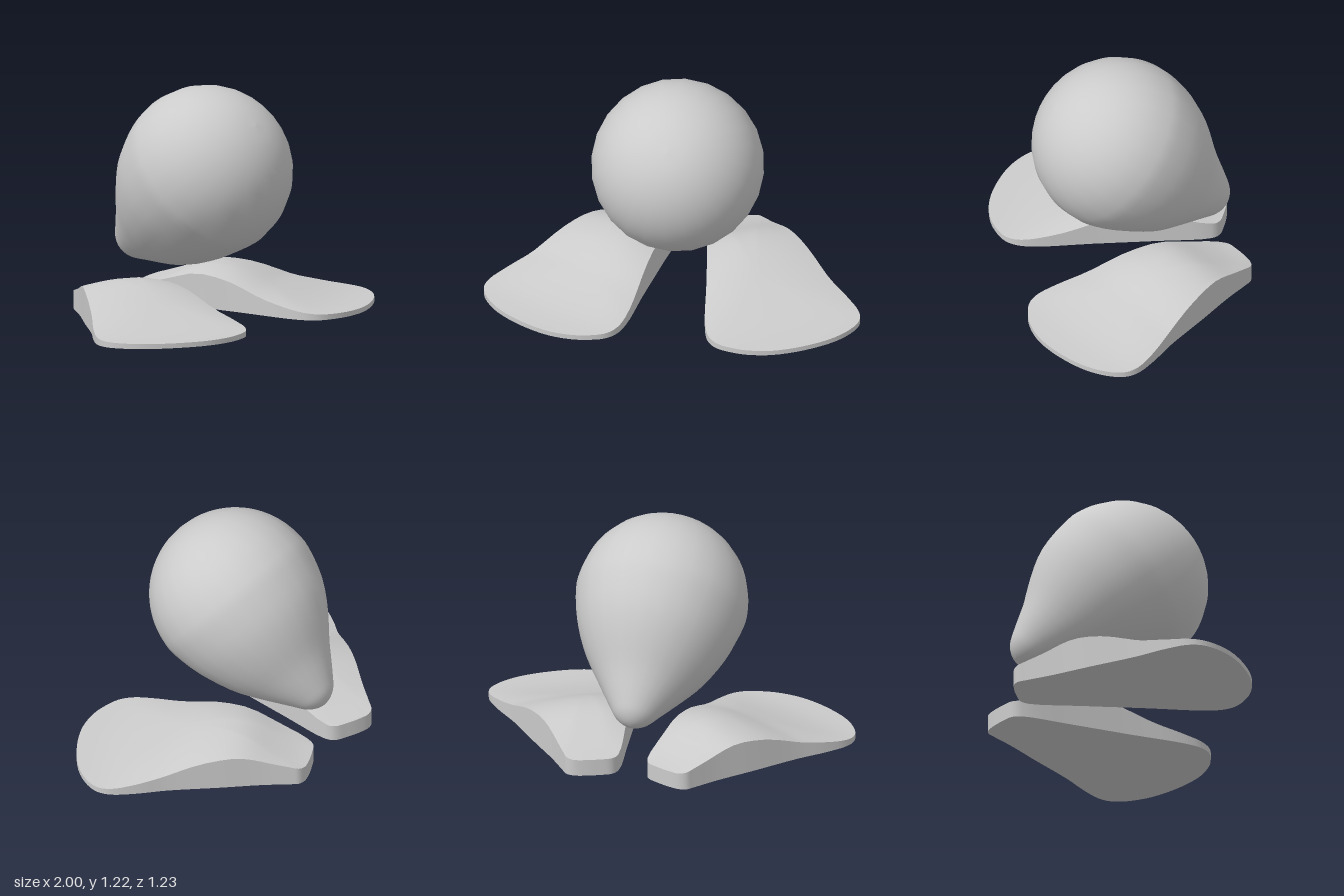
import * as THREE from 'three';
import { mergeGeometries } from 'three/addons/utils/BufferGeometryUtils.js';

const material = new THREE.MeshStandardMaterial({ color: 0xcccccc });

// Skin a list of closed rings (arrays of Vector3) with smooth normals.
function skin(rings) {
  const n = rings[0].length, index = [];
  for (let i = 0; i < rings.length - 1; i++) {
    for (let j = 0; j < n; j++) {
      const k = (j + 1) % n;
      const a = i * n + j, b = i * n + k, c = b + n, d = a + n;
      index.push(a, d, c, a, c, b);
    }
  }
  const geometry = new THREE.BufferGeometry().setFromPoints(rings.flat());
  geometry.setIndex(index);
  geometry.computeVertexNormals();
  return geometry;
}

function mesh(name, geometry) {
  const m = new THREE.Mesh(geometry, material);
  m.name = name;
  return m;
}

// Smooth interpolation through [position, value] pairs.
function along(table, s) {
  const last = table.length - 1;
  if (s <= table[0][0]) return table[0][1];
  if (s >= table[last][0]) return table[last][1];
  const i = table.findIndex((p) => p[0] > s) - 1;
  const slope = (k) => {
    const p = table[Math.max(k - 1, 0)], q = table[Math.min(k + 1, last)];
    return (q[1] - p[1]) / (q[0] - p[0]);
  };
  const [x0, y0] = table[i], [x1, y1] = table[i + 1];
  const w = x1 - x0, t = (s - x0) / w, t2 = t * t, t3 = t2 * t;
  return (2 * t3 - 3 * t2 + 1) * y0 + (t3 - 2 * t2 + t) * w * slope(i)
    + (3 * t2 - 2 * t3) * y1 + (t3 - t2) * w * slope(i + 1);
}

// Round body drawn out into a blunt tail, down and to the back.
function bodyGeometry() {
  const R = 0.455, profile = [];
  for (let i = 0; i <= 8; i++) {
    const f = (i / 8) * 1.68;
    profile.push(new THREE.Vector2(-R * Math.cos(f), R * Math.sin(f)));
  }
  for (const [a, r] of [[0.214, 0.41], [0.376, 0.33], [0.516, 0.232], [0.644, 0.14],
    [0.704, 0.094], [0.737, 0.045], [0.747, 0]]) profile.push(new THREE.Vector2(a, r));

  const centre = new THREE.Vector3(0, 0.77, 0.03);
  const axis = new THREE.Vector3(0, -0.642, -0.767);
  const up = new THREE.Vector3(0, 0.767, -0.642);
  const rings = new THREE.SplineCurve(profile).getPoints(45).map(({ x: a, y }) => {
    const r = Math.max(y, 0);
    const sag = -0.02 * Math.exp(-(((a - 0.47) / 0.15) ** 2)); // fuller underside
    return Array.from({ length: 24 }, (_, j) => {
      const t = (j / 24) * Math.PI * 2;
      const p = centre.clone().addScaledVector(axis, a);
      p.addScaledVector(up, sag + r * Math.sin(t));
      p.x = r * Math.cos(t);
      return p;
    });
  });
  return skin(rings);
}

// Foot outline (x, z), from the inner toe corner round the toe to the heel.
const OUTLINE = [
  [0.21, 0.42], [0.245, 0.52], [0.3, 0.575], [0.4, 0.605], [0.48, 0.61], [0.6, 0.59],
  [0.75, 0.52], [0.9, 0.405], [0.98, 0.29], [1, 0.21], [0.98, 0.14], [0.9, 0.04],
  [0.78, -0.08], [0.6, -0.29], [0.45, -0.46], [0.36, -0.575], [0.33, -0.61], [0.29, -0.62],
  [0.23, -0.605], [0.16, -0.575], [0.1, -0.54], [0.08, -0.49], [0.12, -0.2], [0.17, 0.13],
];
// Rim height and extra crown by distance along the foot, heel to toe.
const RIM = [[-0.42, 0.09], [-0.25, 0.135], [-0.12, 0.174], [-0.03, 0.18], [0.1, 0.16],
  [0.19, 0.132], [0.3, 0.092], [0.4, 0.068], [0.52, 0.045], [0.64, 0.031], [0.8, 0.026]];
const CROWN = [[-0.4, 0], [-0.2, 0.025], [0, 0.04], [0.2, 0.038], [0.45, 0.025], [0.75, 0.005]];

// Splayed flat-soled foot; side is +1 for left, -1 for right.
function footGeometry(side) {
  const curve = new THREE.CatmullRomCurve3(
    OUTLINE.map(([x, z]) => new THREE.Vector3(x, 0, z)), true, 'centripetal');
  const loop = curve.getPoints(96).slice(0, -1);
  const centre = new THREE.Vector3(0.42, 0, 0.05);

  const ring = (k, raised) => {
    const points = loop.map((p) => {
      const q = centre.clone().lerp(p, k);
      const s = 0.46 * q.x + 0.89 * q.z;
      if (raised) q.y = along(RIM, s) + along(CROWN, s) * (1 - k * k);
      q.x *= side;
      return q;
    });
    return side < 0 ? points.reverse() : points;
  };

  const steps = Array.from({ length: 13 }, (_, i) => i / 12);
  const top = skin(steps.map((k) => ring(k, true)));
  const wall = skin([ring(1, true), ring(1, false)]);
  const sole = skin([ring(1, false), ring(0, false)]);
  return mergeGeometries([top, wall, sole]);
}

export function createModel() {
  const group = new THREE.Group();
  group.name = 'bodyWithFeet';
  group.add(
    mesh('body', bodyGeometry()),
    mesh('leftFoot', footGeometry(1)),
    mesh('rightFoot', footGeometry(-1)),
  );
  return group;
}
